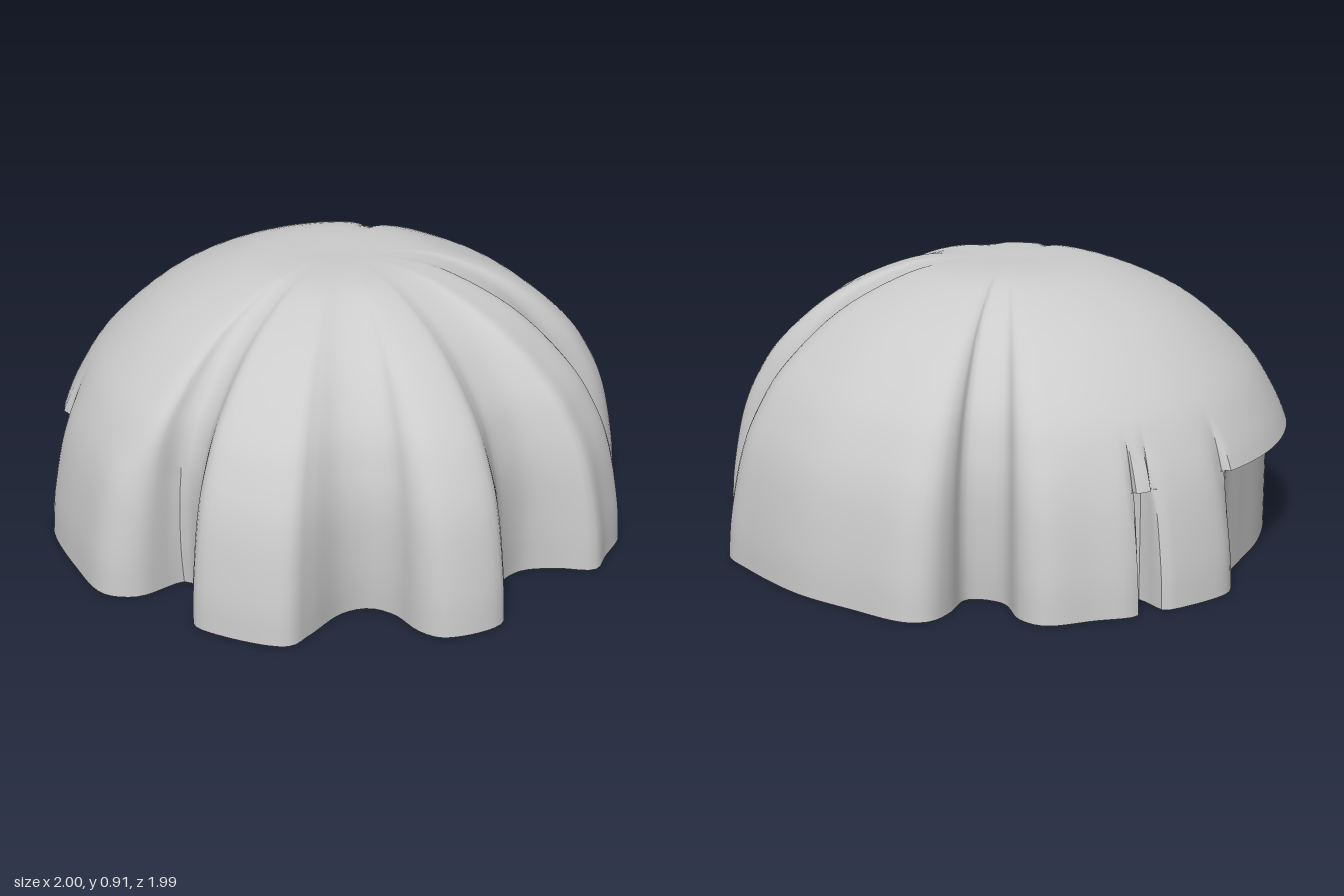
import * as THREE from 'three';
import { toCreasedNormals } from 'three/addons/utils/BufferGeometryUtils.js';

const HEIGHT = 0.91, LEDGE = 0.37, SEGMENTS = 260;

// Rim outline in plan: [x, z, recess]; recess 1 = cut in only below the ledge height
const RIM = [
  [0, -0.99], [-0.22, -0.97], [-0.27, -0.93], [-0.28, -0.87, 1], [-0.42, -0.76, 1], [-0.59, -0.63, 1],
  [-0.74, -0.46, 1], [-0.88, -0.21, 1], [-0.96, -0.17], [-0.995, -0.08], [-0.98, 0.18], [-0.93, 0.39],
  [-0.83, 0.44], [-0.66, 0.4], [-0.64, 0.5], [-0.71, 0.66], [-0.67, 0.73], [-0.47, 0.88],
  [-0.39, 0.84], [-0.25, 0.75], [-0.16, 0.75], [-0.1, 0.81], [-0.06, 0.93], [0, 0.99],
  [0.2, 0.97], [0.24, 0.85], [0.27, 0.76], [0.38, 0.69], [0.5, 0.71], [0.62, 0.76],
  [0.69, 0.69], [0.79, 0.58], [0.78, 0.52], [0.71, 0.42], [0.7, 0.35], [0.73, 0.24],
  [0.79, 0.21], [0.93, 0.19], [0.995, 0.11], [0.99, -0.03], [0.94, -0.3], [0.85, -0.5],
  [0.75, -0.68], [0.68, -0.71], [0.6, -0.68], [0.5, -0.61], [0.42, -0.69], [0.44, -0.83],
  [0.4, -0.91], [0.25, -0.95], [0.11, -0.98], [0.08, -0.87, 1], [0.04, -0.87, 1], [0.02, -0.98],
];

// Side profile of the dome: [radius, height]
const PROFILE = [
  [1, 0], [0.987, 0.14], [0.945, 0.34], [0.885, 0.48], [0.79, 0.615],
  [0.6, 0.775], [0.36, 0.883], [0.18, 0.91], [0, HEIGHT],
];

// Middle direction of the broad smooth back panel
const BACK = new THREE.Vector2(-0.75, -0.66);

// Rows up the profile, with a doubled row where the ledge sits
function makeRows() {
  const points = new THREE.SplineCurve(PROFILE.map(([r, y]) => new THREE.Vector2(r, y))).getPoints(40);
  const first = points.findIndex((p) => p.y >= LEDGE);
  const row = (upper) => (p) => ({ d: p.x, y: p.y, upper });
  return [...points.slice(0, first + 1).map(row(false)), ...points.slice(first).map(row(true))];
}

function makeDome() {
  const curve = new THREE.CatmullRomCurve3(
    RIM.map(([x, z, recess = 0]) => new THREE.Vector3(x, recess * 0.05, z)), true, 'centripetal');
  const rim = curve.getSpacedPoints(SEGMENTS);
  const rows = makeRows();
  const positions = [], index = [];

  for (const { d, y, upper } of rows) {
    // Folds grow shallower towards the top; the back panel smooths out above the ledge
    const fold = 1 - 0.6 * y / HEIGHT;
    const ramp = THREE.MathUtils.smoothstep(y, LEDGE, LEDGE + 0.2);
    for (const p of rim) {
      const recess = THREE.MathUtils.clamp(p.y / 0.05, 0, 1);
      const R = Math.hypot(p.x, p.z);
      const facing = (p.x * BACK.x + p.z * BACK.y) / R;
      const smooth = ramp * THREE.MathUtils.smoothstep(facing, 0.25, 0.45);
      const folded = d * THREE.MathUtils.lerp(1, R, fold * (1 - smooth));
      const radius = THREE.MathUtils.lerp(folded, upper ? d : R, recess);
      positions.push(p.x / R * radius, y, p.z / R * radius);
    }
  }
  const n = SEGMENTS + 1;
  for (let j = 0; j < rows.length - 1; j++) {
    for (let i = 0; i < SEGMENTS; i++) {
      const a = j * n + i, b = a + 1, c = a + n, e = c + 1;
      index.push(a, b, c);
      if (j < rows.length - 2) index.push(b, e, c);
    }
  }
  const geometry = new THREE.BufferGeometry();
  geometry.setAttribute('position', new THREE.Float32BufferAttribute(positions, 3));
  geometry.setIndex(index);
  return toCreasedNormals(geometry, 0.7);
}

export function createModel() {
  const group = new THREE.Group();
  group.name = 'foldedDome';
  // Open-bottomed lobed shell
  const shell = new THREE.Mesh(makeDome(),
    new THREE.MeshStandardMaterial({ color: 0xcccccc, side: THREE.DoubleSide }));
  shell.name = 'shell';
  group.add(shell);
  return group;
}
